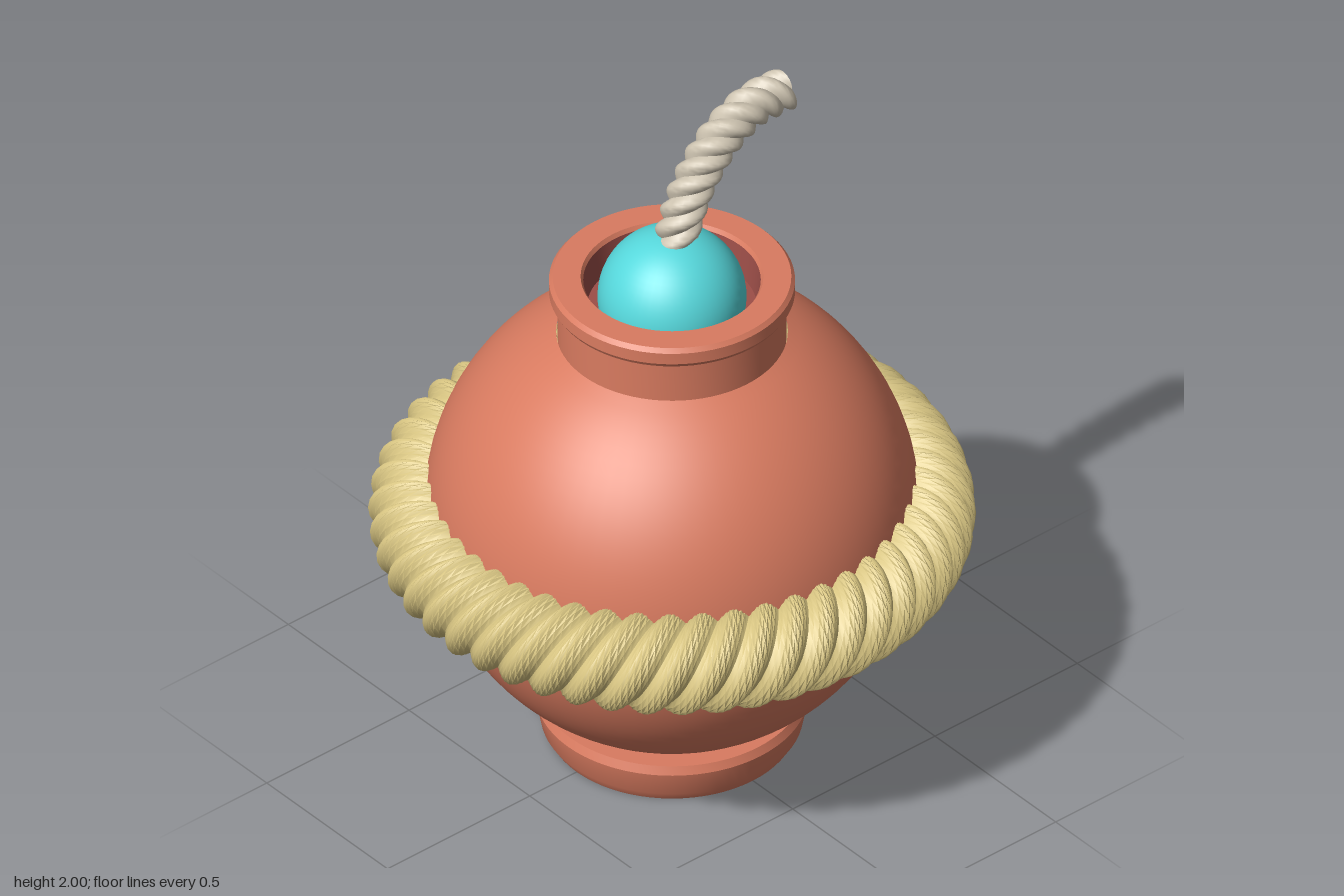
import * as THREE from 'three';
import { toCreasedNormals } from 'three/addons/utils/BufferGeometryUtils.js';

const material = (name, color, side = THREE.FrontSide) => {
  const m = new THREE.MeshStandardMaterial({ color, side });
  m.name = name;
  return m;
};

// Twisted rope: lobed cross-section swept along frames {p, n, b}, turning as it goes
function ropeGeometry(frameAt, { radius, depth, strands, turns, segments, closed }) {
  const perStrand = 8, ring = strands * perStrand;
  const pos = [], index = [];
  const rows = closed ? segments : segments + 1;
  for (let i = 0; i < rows; i++) {
    const t = i / segments;
    const { p, n, b } = frameAt(t);
    for (let j = 0; j < ring; j++) {
      const a = (j / ring + turns * t) * Math.PI * 2;
      const r = radius * (1 - depth + depth * Math.sin(Math.PI * (j % perStrand) / perStrand));
      const v = p.clone().addScaledVector(n, r * Math.cos(a)).addScaledVector(b, r * Math.sin(a));
      pos.push(v.x, v.y, v.z);
    }
  }
  for (let i = 0; i < segments; i++) {
    const k = (i + 1) % rows;
    for (let j = 0; j < ring; j++) {
      const l = (j + 1) % ring;
      const a = i * ring + j, b = i * ring + l, c = k * ring + l, d = k * ring + j;
      index.push(a, b, d, b, c, d);
    }
  }
  // End caps
  if (!closed) {
    for (const [row, t] of [[0, 0], [rows - 1, 1]]) {
      const center = pos.length / 3, { p } = frameAt(t);
      pos.push(p.x, p.y, p.z);
      for (let j = 0; j < ring; j++) {
        const a = row * ring + j, b = row * ring + (j + 1) % ring;
        if (t === 0) index.push(center, b, a);
        else index.push(center, a, b);
      }
    }
  }
  const g = new THREE.BufferGeometry();
  g.setAttribute('position', new THREE.Float32BufferAttribute(pos, 3));
  g.setIndex(index);
  return toCreasedNormals(g, 0.7);
}

export function createModel() {
  const group = new THREE.Group();
  const clay = material('terracotta', 0xd97b60);
  const inside = material('dark clay', 0x9c4e48);
  const teal = material('teal', 0x56d8dc);
  const straw = material('straw rope', 0xd8c582);
  const cord = material('pale cord', 0xcfc5b2);

  const add = (name, geometry, mat) => {
    const mesh = new THREE.Mesh(geometry, mat);
    mesh.name = name;
    group.add(mesh);
    return mesh;
  };
  const lathe = (points) => toCreasedNormals(
    new THREE.LatheGeometry(points.map(([x, y]) => new THREE.Vector2(x, y)), 72), 0.45);

  // Round belly, cut off at the foot and the neck
  const belly = [], R = 0.665, midY = 0.73;
  const a0 = Math.asin((0.11 - midY) / R), a1 = Math.asin((1.318 - midY) / R);
  for (let i = 0; i <= 40; i++) {
    const a = a0 + (a1 - a0) * i / 40;
    belly.push([R * Math.cos(a), midY + R * Math.sin(a)]);
  }
  add('potBelly', lathe(belly), clay);

  // Foot
  add('potFoot', lathe([[0, 0], [0.335, 0], [0.352, 0.028], [0.366, 0.1],
    [0.356, 0.124], [0.22, 0.124]]), clay);

  // Neck with rolled rim and the start of the opening
  add('potNeck', lathe([[0.307, 1.3], [0.307, 1.44], [0.322, 1.442], [0.33, 1.455],
    [0.33, 1.49], [0.32, 1.502], [0.245, 1.502], [0.238, 1.49]]), clay);

  // Inner wall and floor of the opening
  add('potOpening', lathe([[0.238, 1.49], [0.228, 1.4], [0, 1.4]]), inside);

  // Ball in the opening
  const ball = add('ball', new THREE.SphereGeometry(0.2, 48, 32), teal);
  ball.position.y = 1.436;

  // Thick rope around the belly
  add('beltRope', ropeGeometry((t) => {
    const a = t * Math.PI * 2;
    const n = new THREE.Vector3(Math.sin(a), 0, Math.cos(a));
    return {
      p: n.clone().multiplyScalar(0.668).setY(0.715),
      n, b: new THREE.Vector3(0, -1, 0),
    };
  }, { radius: 0.147, depth: 0.2, strands: 4, turns: -12, segments: 288, closed: true }), straw);

  // Curved fuse
  const path = new THREE.CatmullRomCurve3([
    [0.01, 1.58], [0.025, 1.66], [0.075, 1.775], [0.17, 1.885], [0.28, 1.938], [0.39, 1.938],
  ].map(([x, y]) => new THREE.Vector3(x, y, 0)));
  add('fuse', ropeGeometry((t) => {
    const d = path.getTangentAt(t);
    return {
      p: path.getPointAt(t),
      n: new THREE.Vector3(-d.y, d.x, 0), b: new THREE.Vector3(0, 0, 1),
    };
  }, { radius: 0.062, depth: 0.28, strands: 3, turns: 3.5, segments: 90, closed: false }), cord);

  return group;
}
